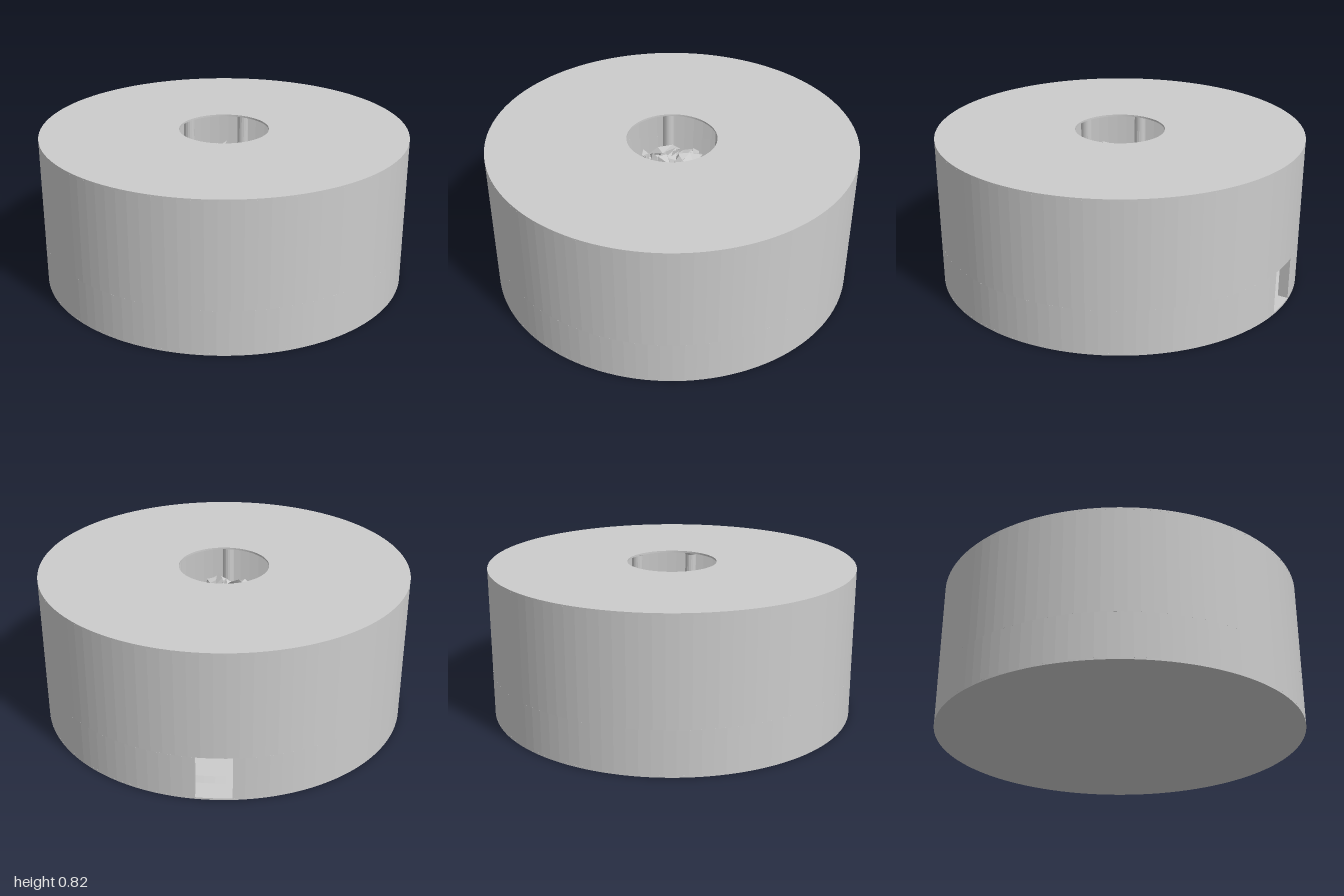
import * as THREE from 'three';
import { mergeGeometries } from 'three/addons/utils/BufferGeometryUtils.js';

const OUTER = 1, INNER = 0.945, OCULUS = 0.245;
const FLOOR = 0.01, DOOR_TOP = 0.245, ROOF = 0.81, TOP = 0.82, DOOR_HALF = 0.093;

export function createModel() {
  const model = new THREE.Group();
  const grey = new THREE.MeshStandardMaterial({ color: 0xcccccc });
  const flat = new THREE.MeshStandardMaterial({ color: 0xcccccc, flatShading: true });
  const thin = new THREE.MeshStandardMaterial({ color: 0xcccccc, flatShading: true, side: THREE.DoubleSide });

  const add = (name, geometry, material = flat, parent = model) => {
    const mesh = new THREE.Mesh(geometry, material);
    mesh.name = name;
    parent.add(mesh);
    return mesh;
  };

  // Extrudes a plan (shape y = back) upward from y0 to y1
  const slab = (shape, y0, y1, curveSegments) =>
    new THREE.ExtrudeGeometry(shape, { depth: y1 - y0, bevelEnabled: false, curveSegments })
      .rotateX(-Math.PI / 2).translate(0, y0, 0);

  const ring = (outer, inner) => {
    const shape = new THREE.Shape().absarc(0, 0, outer, 0, Math.PI * 2, false);
    shape.holes.push(new THREE.Path().absarc(0, 0, inner, 0, Math.PI * 2, true));
    return shape;
  };

  // Floor with a slightly raised inner stage
  add('floor', new THREE.CylinderGeometry(OUTER, OUTER, FLOOR, 128).translate(0, FLOOR / 2, 0));
  add('innerFloor', new THREE.CylinderGeometry(0.86, 0.88, 0.03, 96).translate(0, FLOOR + 0.015, 0));

  // Round wall: open at the back up to the lintel, closed above it
  const a = Math.asin(DOOR_HALF / OUTER), b = Math.asin(DOOR_HALF / INNER), back = Math.PI / 2;
  const openRing = new THREE.Shape();
  openRing.absarc(0, 0, OUTER, back + a, back + Math.PI * 2 - a, false);
  openRing.absarc(0, 0, INNER, back + Math.PI * 2 - b, back + b, true);
  openRing.closePath();
  add('lowerWall', slab(openRing, FLOOR, DOOR_TOP, 50));
  add('upperWall', slab(ring(OUTER, INNER), DOOR_TOP, ROOF, 50));

  // Flat roof with a central round opening
  add('roof', slab(ring(OUTER, OCULUS), ROOF, TOP, 64));

  // Colonnade around the centre
  const profile = [
    [0, 0], [0.055, 0], [0.055, 0.03], [0.035, 0.05], [0.032, 0.7],
    [0.04, 0.715], [0.055, 0.74], [0.055, 0.77], [0, 0.77],
  ].map(([x, y]) => new THREE.Vector2(x, y));
  const columnGeometry = new THREE.LatheGeometry(profile, 16);
  const colonnade = new THREE.Group();
  colonnade.name = 'colonnade';
  model.add(colonnade);
  for (let i = 0; i < 10; i++) {
    const t = (i / 10) * Math.PI * 2;
    add('column', columnGeometry, flat, colonnade)
      .position.set(Math.sin(t) * 0.52, 0.04, Math.cos(t) * 0.52);
  }

  // Mound under the opening
  const mound = new THREE.SphereGeometry(0.36, 20, 10, 0, Math.PI * 2, 0, Math.PI / 2);
  add('mound', mound.scale(1, 1.55, 1).translate(0, 0.04, 0), grey);

  // Irregular folded shards scattered over the mound
  let seed = 7;
  const rand = () => (seed = (seed * 16807) % 2147483647) / 2147483647;
  const shard = () => {
    const l = 0.05 + rand() * 0.05, w = 0.025 + rand() * 0.03, f = 0.01 + rand() * 0.025;
    const g = new THREE.BufferGeometry();
    g.setAttribute('position', new THREE.Float32BufferAttribute([
      0, 0, -l, 0, f, 0, w, 0, -l * 0.4, w * 0.8, -f, l * 0.4,
      0, 0, l, -w, 0, l * 0.3, -w * 0.7, -f, -l * 0.5,
    ], 3));
    g.setIndex([1, 2, 0, 1, 3, 2, 1, 4, 3, 1, 5, 4, 1, 6, 5, 1, 0, 6]);
    g.computeVertexNormals();
    return g;
  };
  const shards = [];
  const COUNT = 420, pose = new THREE.Object3D();
  for (let i = 0; i < COUNT; i++) {
    const up = 1 - (i + 0.5) / COUNT, r = Math.sqrt(1 - up * up), t = i * 2.39996;
    const k = 0.36 + rand() * 0.05;
    pose.position.set(Math.cos(t) * r * k, 0.06 + up * k * 1.55, Math.sin(t) * r * k);
    pose.rotation.set((rand() - 0.5) * 2.4, rand() * Math.PI * 2, (rand() - 0.5) * 2.4);
    pose.updateMatrix();
    shards.push(shard().applyMatrix4(pose.matrix));
  }
  add('shards', mergeGeometries(shards), thin);

  return model;
}
